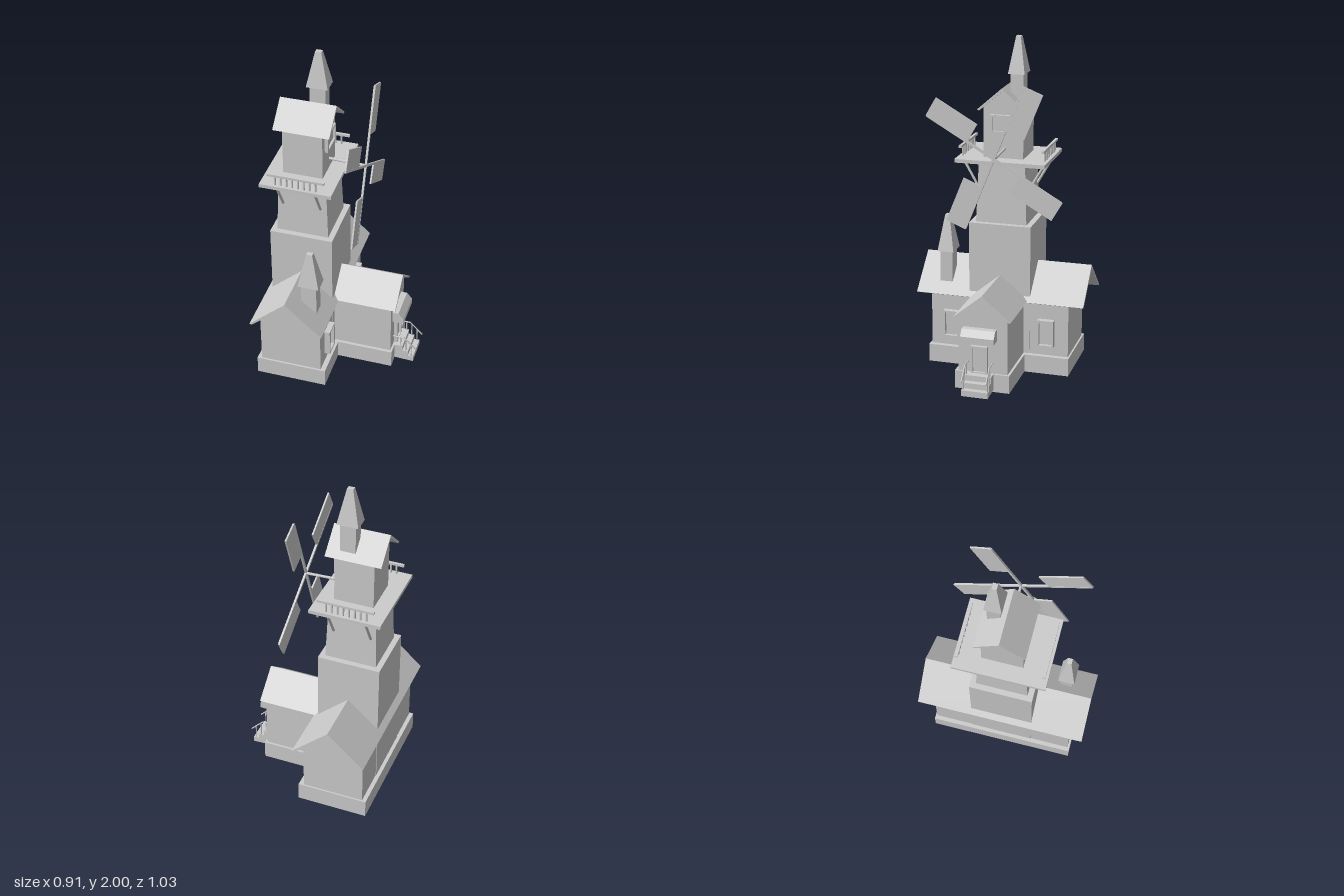
import * as THREE from 'three';

const mat = new THREE.MeshStandardMaterial({ color: 0xcccccc, flatShading: true });

export function createModel() {
  const root = new THREE.Group();
  root.name = 'windmillHouse';

  const add = (name, geo, parent = root) => {
    const m = new THREE.Mesh(geo, mat);
    m.name = name;
    parent.add(m);
    return m;
  };

  // Box given by its min and max on each axis
  const box = (name, x0, x1, y0, y1, z0, z1, parent) => add(name,
    new THREE.BoxGeometry(x1 - x0, y1 - y0, z1 - z0)
      .translate((x0 + x1) / 2, (y0 + y1) / 2, (z0 + z1) / 2), parent);

  // Profile of [u, y] points extruded along z, or along x (u then runs along -z)
  const prism = (name, pts, from, to, alongX, ou = 0, hole) => {
    const shape = new THREE.Shape(pts.map(p => new THREE.Vector2(...p)));
    if (hole) shape.holes.push(new THREE.Path(hole.map(p => new THREE.Vector2(...p))));
    const g = new THREE.ExtrudeGeometry(shape, { depth: to - from, bevelEnabled: false });
    g.translate(0, 0, from);
    if (alongX) g.rotateY(Math.PI / 2).translate(0, 0, ou);
    else g.translate(ou, 0, 0);
    return add(name, g);
  };

  // Walls ending in a gable
  const gable = (name, half, y0, eave, peak, from, to, alongX, ou) => prism(name,
    [[-half, y0], [half, y0], [half, eave], [0, peak], [-half, eave]], from, to, alongX, ou);

  // Thin folded roof
  const roof = (name, half, eave, peak, from, to, alongX, ou, t = 0.02) => prism(name,
    [[-half, eave], [-half + 0.012, eave - 0.006], [0, peak - t], [half - 0.012, eave - 0.006], [half, eave], [0, peak]],
    from, to, alongX, ou);

  // Box whose top has a different footprint
  const taper = (name, cx, cz, y0, y1, w0, d0, w1, d1) => {
    const g = new THREE.BoxGeometry(1, y1 - y0, 1);
    const p = g.attributes.position;
    for (let i = 0; i < p.count; i++) {
      const top = p.getY(i) > 0;
      p.setX(i, p.getX(i) * (top ? w1 : w0));
      p.setZ(i, p.getZ(i) * (top ? d1 : d0));
    }
    g.translate(cx, (y0 + y1) / 2, cz);
    return add(name, g);
  };

  // Round bar between two points
  const bar = (name, a, b, r, parent, sides = 8) => {
    const A = new THREE.Vector3(...a), B = new THREE.Vector3(...b);
    const d = B.clone().sub(A);
    const m = add(name, new THREE.CylinderGeometry(r, r, d.length(), sides), parent);
    m.position.copy(A).add(B).multiplyScalar(0.5);
    m.quaternion.setFromUnitVectors(new THREE.Vector3(0, 1, 0), d.normalize());
    return m;
  };

  // Frame with recessed pane on a wall facing +x
  const opening = (name, x, z, y0, y1, w, depth, f = 0.012) => {
    const h = w / 2, i = h - f;
    prism(name + 'Frame', [[-h, y0], [h, y0], [h, y1], [-h, y1]], x - 0.01, x + depth, true, z,
      [[-i, y0 + f], [-i, y1 - f], [i, y1 - f], [i, y0 + f]]);
    box(name + 'Pane', x - 0.01, x + depth * 0.4, y0 + f, y1 - f, z - i, z + i);
  };

  // Plinths
  box('mainPlinth', -0.445, -0.02, 0, 0.11, -0.43, 0.44);
  box('wingPlinth', -0.1, 0.317, 0, 0.11, -0.162, 0.167);

  // Main house and entrance wing
  gable('mainWalls', 0.185, 0.1, 0.45, 0.62, -0.42, 0.428, false, -0.235);
  roof('mainRoof', 0.22, 0.443, 0.64, -0.515, 0.512, false, -0.236);
  gable('wingWalls', 0.148, 0.1, 0.445, 0.57, -0.1, 0.305, true, 0);
  roof('wingRoof', 0.173, 0.447, 0.59, -0.1, 0.334, true, -0.002);
  for (const z of [0.297, -0.287]) opening('houseWindow', -0.05, z, 0.17, 0.338, 0.1, 0.034);

  // Tower
  box('towerBase', -0.423, -0.047, 0.1, 0.9, -0.186, 0.19);
  taper('towerUpper', -0.235, 0.002, 0.9, 1.268, 0.31, 0.308, 0.282, 0.28);

  // Platform with railings and struts
  box('platform', -0.45, -0.025, 1.265, 1.287, -0.272, 0.27);
  for (const s of [-1, 1]) {
    box('platformRail', -0.405, -0.07, 1.343, 1.357, s * 0.249 - 0.008, s * 0.249 + 0.008);
    for (let i = 0; i < 8; i++) {
      const x = -0.36 + i * 0.034;
      bar('baluster', [x, 1.28, s * 0.249], [x, 1.35, s * 0.249], 0.006);
    }
    for (const x of [-0.352, -0.128])
      bar('platformStrut', [x, 1.09, s * 0.148], [x, 1.27, s * 0.25], 0.008);
  }

  // Cap house
  gable('capWalls', 0.12, 1.28, 1.585, 1.69, -0.355, -0.12, true, 0);
  roof('capRoof', 0.147, 1.58, 1.71, -0.403, -0.072, true, -0.002);
  opening('capWindow', -0.122, 0, 1.438, 1.546, 0.15, 0.022);

  // Chimneys with tapering spires
  for (const [name, x, z, y0, y1, y2] of [
    ['capChimney', -0.194, -0.073, 1.58, 1.785, 2.0],
    ['houseChimney', -0.13, 0.345, 0.5, 0.695, 0.915]]) {
    taper(name, x, z, y0, y1, 0.092, 0.076, 0.092, 0.076);
    taper(name + 'Spire', x, z, y1, y2, 0.127, 0.1, 0.036, 0.028);
  }

  // Sails on their axle
  bar('axle', [-0.14, 1.345, -0.008], [0.104, 1.336, -0.008], 0.008);
  const sails = new THREE.Group();
  sails.name = 'sails';
  sails.position.set(0.097, 1.337, -0.005);
  root.add(sails);
  for (const deg of [68, 150, 248, 330]) {
    const arm = new THREE.Group();
    arm.name = 'sail';
    arm.rotation.x = THREE.MathUtils.degToRad(deg - 90);
    box('sailArm', -0.006, 0.006, 0, 0.46, -0.007, 0.007, arm);
    box('sailBlade', -0.005, 0.005, 0.182, 0.465, -0.121, 0.003, arm);
    sails.add(arm);
  }

  // Door and canopy
  opening('door', 0.305, 0.018, 0.105, 0.276, 0.1, 0.022);
  const canopy = [[0.3, 0.315], [0.375, 0.315], [0.375, 0.348], [0.342, 0.386], [0.3, 0.386]];
  prism('canopy', canopy, -0.085, 0.116, false);

  // Stairs with handrails
  prism('stairs', [[0.31, 0.012], [0.435, 0.006], [0.435, 0.042], [0.402, 0.042], [0.402, 0.076],
    [0.367, 0.076], [0.367, 0.11], [0.31, 0.11]], -0.066, 0.094, false);
  for (const z of [-0.06, 0.087]) {
    bar('handrail', [0.305, 0.175, z], [0.375, 0.175, z], 0.004);
    bar('handrailSlope', [0.375, 0.175, z], [0.452, 0.097, z], 0.004);
    for (const [x, y0, y1] of [[0.353, 0.11, 0.175], [0.386, 0.07, 0.164], [0.42, 0.04, 0.13]])
      bar('handrailPost', [x, y0, z], [x, y1, z], 0.004);
  }

  return root;
}
